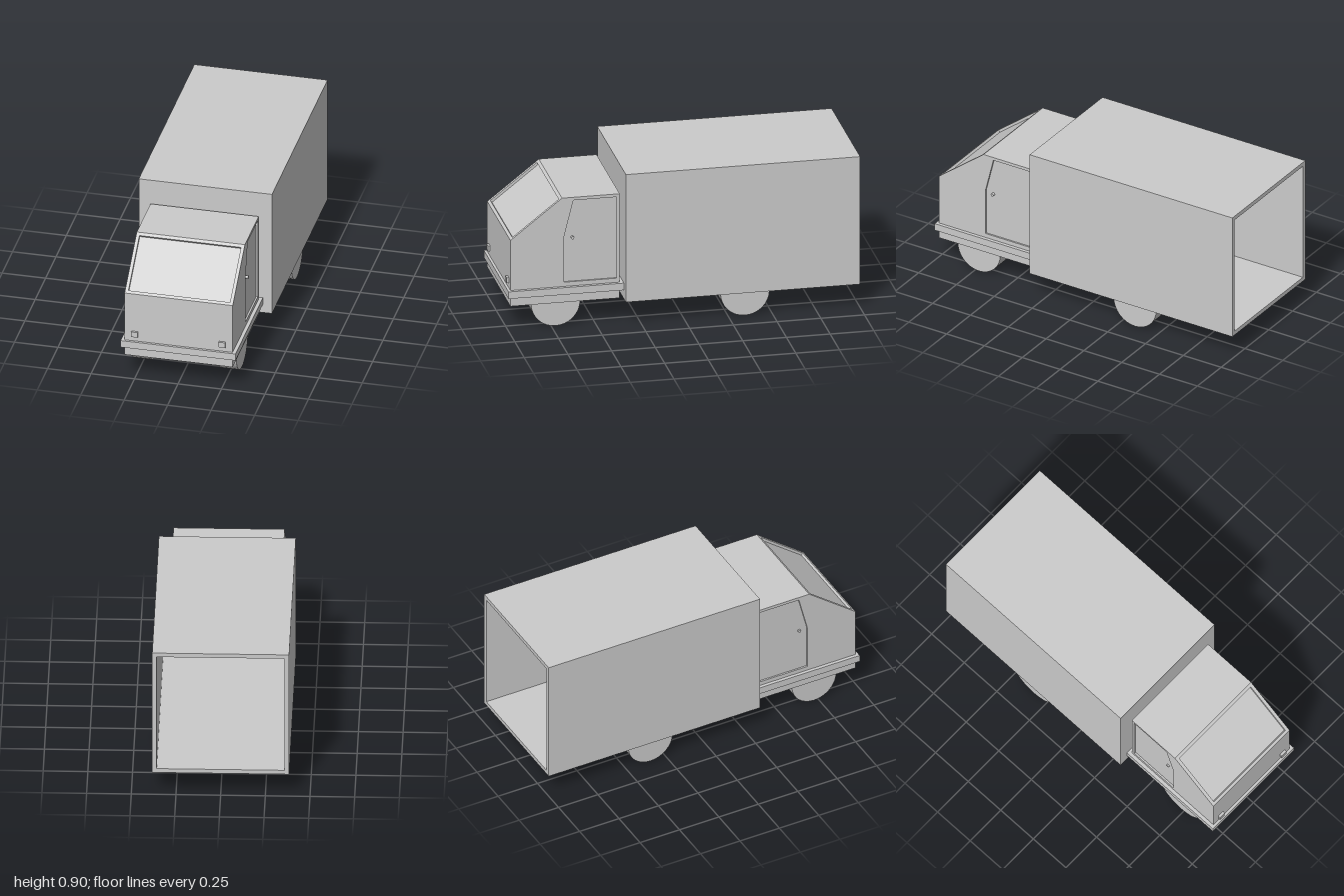
import * as THREE from 'three';

const material = new THREE.MeshStandardMaterial({ color: 0xcccccc, flatShading: true });

function addMesh(parent, name, geometry, x = 0, y = 0, z = 0) {
  const mesh = new THREE.Mesh(geometry, material);
  mesh.name = name;
  mesh.position.set(x, y, z);
  parent.add(mesh);
  return mesh;
}

const toPoints = (list) => list.map(([a, b]) => new THREE.Vector2(a, b));

// Extrudes a (z, y) side profile across x, from x0 to x1
function sideExtrude(profile, x0, x1, hole) {
  const shape = new THREE.Shape(toPoints(profile));
  if (hole) shape.holes.push(new THREE.Path(toPoints(hole)));
  const geometry = new THREE.ExtrudeGeometry(shape, { depth: x1 - x0, bevelEnabled: false });
  return geometry.rotateY(-Math.PI / 2).translate(x1, 0, 0);
}

function rectangle(w, y0, y1) {
  return toPoints([[-w, y0], [w, y0], [w, y1], [-w, y1]]);
}

function createCab() {
  const cab = new THREE.Group();
  cab.name = 'cab';
  const outline = [[0.36, 0.14], [0.985, 0.14], [0.985, 0.535], [0.69, 0.765], [0.36, 0.765]];
  const door = [[0.377, 0.26], [0.678, 0.26], [0.678, 0.535], [0.625, 0.747], [0.377, 0.747]];

  // Middle section, with the windscreen sunk into the sloping face
  const depth = 0.015;
  const slope = (t, d) => [0.985 - 0.295 * t - 0.615 * d, 0.535 + 0.23 * t - 0.789 * d];
  const sunk = [
    ...outline.slice(0, 3),
    slope(0.048, 0), slope(0.048, depth), slope(0.948, depth), slope(0.948, 0),
    ...outline.slice(3),
  ];
  addMesh(cab, 'cabBodyWithWindscreen', sideExtrude(sunk, -0.292, 0.292));

  // Sides: an inner panel that forms the door, an outer skin with the door opening
  for (const side of [-1, 1]) {
    const label = side > 0 ? 'left' : 'right';
    const slab = (a, b, hole) =>
      sideExtrude(outline, Math.min(side * a, side * b), Math.max(side * a, side * b), hole);
    addMesh(cab, label + 'DoorPanel', slab(0.292, 0.301));
    addMesh(cab, label + 'SideSkin', slab(0.301, 0.311, door));

    const reach = side > 0 ? 0.317 : 0.31;
    const knob = new THREE.CylinderGeometry(0.009, 0.009, reach - 0.3, 12).rotateZ(Math.PI / 2);
    addMesh(cab, label + 'DoorHandle', knob, side * (reach + 0.3) / 2, 0.524, 0.63);

    addMesh(cab, label + 'Headlight', new THREE.BoxGeometry(0.038, 0.032, 0.02),
      side * 0.252, 0.281, 0.988);
  }

  // Bumper band running round the cab
  addMesh(cab, 'bumper', new THREE.BoxGeometry(0.662, 0.042, 0.66), 0, 0.214, 0.67);
  return cab;
}

function createCargoBox() {
  const cargo = new THREE.Group();
  cargo.name = 'cargoBox';
  const wall = 0.025;

  // Four walls, open at the rear
  const shell = new THREE.Shape(rectangle(0.383, 0.14, 0.905));
  shell.holes.push(new THREE.Path(rectangle(0.383 - wall, 0.14 + wall, 0.905 - wall)));
  addMesh(cargo, 'cargoWalls',
    new THREE.ExtrudeGeometry(shell, { depth: 1.34, bevelEnabled: false }), 0, 0, -1);

  // Front wall fitted inside the shell
  addMesh(cargo, 'cargoFrontWall',
    new THREE.BoxGeometry(0.766 - 2 * wall, 0.765 - 2 * wall, wall), 0, 0.5225, 0.34 - wall / 2);
  return cargo;
}

export function createModel() {
  const truck = new THREE.Group();
  truck.name = 'boxTruck';
  truck.add(createCab(), createCargoBox());

  // Half-round wheels below the floor
  const wheel = new THREE.CylinderGeometry(0.14, 0.14, 0.106, 16, 1, false, Math.PI, Math.PI)
    .rotateZ(Math.PI / 2);
  for (const side of [-1, 1]) {
    const label = side > 0 ? 'Left' : 'Right';
    addMesh(truck, 'front' + label + 'Wheel', wheel, side * 0.25, 0.14, 0.725);
    addMesh(truck, 'rear' + label + 'Wheel', wheel, side * 0.312, 0.14, -0.345);
  }
  return truck;
}
